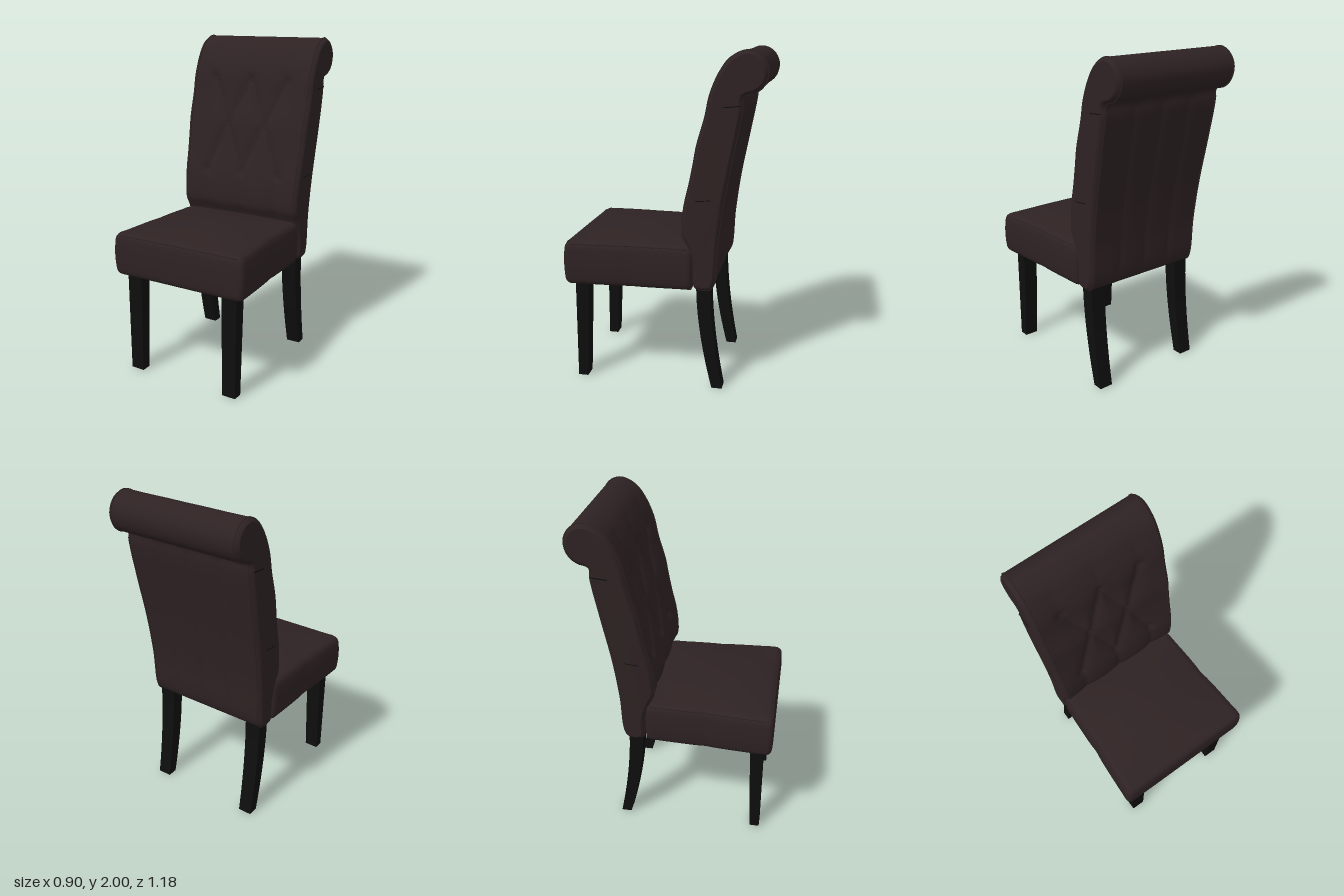
import * as THREE from 'three';
import { mergeVertices } from 'three/addons/utils/BufferGeometryUtils.js';

const material = (name, color) => {
  const m = new THREE.MeshStandardMaterial({ color });
  m.name = name;
  return m;
};

// Backrest side profile as [z, y]: up the front, over the scroll, down the rear
const PROFILE = [
  [-0.195, 0.645], [-0.185, 0.78], [-0.155, 0.89], [-0.125, 0.95], [-0.122, 1.03], [-0.135, 1.14],
  [-0.165, 1.27], [-0.187, 1.38], [-0.205, 1.48], [-0.25, 1.64], [-0.275, 1.76], [-0.325, 1.88],
  [-0.385, 1.96], [-0.475, 2.0], [-0.55, 1.972], [-0.589, 1.9], [-0.573, 1.82], [-0.525, 1.775],
  [-0.46, 1.752], [-0.458, 1.69], [-0.415, 1.45], [-0.365, 1.18], [-0.332, 0.92], [-0.312, 0.67],
  [-0.285, 0.632], [-0.215, 0.632],
];
const BUTTONS = [[-0.26, 1.745], [0, 1.745], [0.26, 1.745], [-0.13, 1.46], [0.13, 1.46],
  [-0.26, 1.165], [0, 1.165], [0.26, 1.165]];

// Fold lines [x0, y0, x1, y1, depth]: diamonds, then pleats above and below
const FOLDS = [];
for (const s of [-1, 1]) {
  for (const y of [1.745, 1.165]) {
    for (const x of [0, 0.26]) FOLDS.push([s * x, y, s * 0.13, 1.46, 0.026]);
  }
}
for (const x of [-0.26, 0, 0.26]) {
  FOLDS.push([x, 1.165, x, 0.85, 0.016], [x, 1.745, x, 1.9, 0.008]);
}

function tuftDepth(x, y) {
  let depth = 0;
  for (const [x0, y0, x1, y1, w] of FOLDS) {
    const dx = x1 - x0, dy = y1 - y0;
    const t = THREE.MathUtils.clamp(((x - x0) * dx + (y - y0) * dy) / (dx * dx + dy * dy), 0, 1);
    const d = Math.hypot(x - x0 - t * dx, y - y0 - t * dy);
    depth = Math.max(depth, w * Math.exp(-d / 0.04));
  }
  for (const [bx, by] of BUTTONS) {
    depth += 0.01 * Math.exp(-(((x - bx) ** 2 + (y - by) ** 2) / 0.0006));
  }
  return depth * (1 - THREE.MathUtils.smoothstep(Math.abs(x), 0.33, 0.4));
}

const N = 160;
const curve = new THREE.CatmullRomCurve3(PROFILE.map(([z, y]) => new THREE.Vector3(0, y, z)), true);
const ring = curve.getSpacedPoints(N).slice(0, N).map((p, i, a) => ({ z: p.z, y: p.y }));
ring.forEach((p, i) => {
  const a = ring[(i + N - 1) % N], b = ring[(i + 1) % N];
  const l = Math.hypot(b.z - a.z, b.y - a.y);
  p.nz = (b.y - a.y) / l;
  p.ny = -(b.z - a.z) / l;
});
const crest = ring.reduce((best, p, i) => (p.y > ring[best].y ? i : best), 0);
const widthScale = (y) => 0.955 + 0.045 * THREE.MathUtils.smoothstep(y, 0.8, 1.65);

// Backrest skin: the profile swept across x, pulled in at tufts, pleats and rounded ends
function backGeometry() {
  const ends = [[0.43, 0.02], [0.421, 0.007]];
  const stations = ends.map(([x, inset]) => [-x, inset]);
  for (let j = 0; j <= 60; j++) stations.push([-0.405 + 0.0135 * j, 0]);
  stations.push(...ends.slice().reverse());
  const pos = [], index = [];
  const point = (i, x, inset) => {
    const p = ring[i];
    let d = inset;
    if (i < crest) d += tuftDepth(x, p.y);
    else if (p.y < 1.72 && p.y > 0.65) {
      for (const g of [-0.2, 0, 0.2]) d += 0.009 * Math.exp(-Math.abs(x - g) / 0.03);
    }
    pos.push(x * widthScale(p.y), p.y - p.ny * d, p.z - p.nz * d);
  };
  stations.forEach(([x, inset], j) => {
    for (let i = 0; i < N; i++) {
      point(i, x, inset);
      if (j === stations.length - 1) continue;
      const a = j * N + i, b = j * N + (i + 1) % N;
      index.push(a, a + N, b, b, a + N, b + N);
    }
  });
  // flat end panels
  const contour = ring.map((p) => new THREE.Vector2(p.z - p.nz * 0.02, p.y - p.ny * 0.02));
  const faces = THREE.ShapeUtils.triangulateShape(contour, []);
  for (const s of [-1, 1]) {
    const base = pos.length / 3;
    for (let i = 0; i < N; i++) point(i, s * 0.43, 0.02);
    for (const [a, b, c] of faces) {
      if (s < 0) index.push(base + a, base + b, base + c);
      else index.push(base + a, base + c, base + b);
    }
  }
  const g = new THREE.BufferGeometry();
  g.setAttribute('position', new THREE.Float32BufferAttribute(pos, 3));
  g.setIndex(index);
  g.computeVertexNormals();
  return g;
}

// Seat cushion rule: rounded box, domed top, sides widening to the front and pinched at a seam
const HALF = new THREE.Vector3(0.42, 0.132, 0.383);
function seatPoint(p) {
  const r = 0.035;
  const limit = HALF.clone().subScalar(r);
  const core = p.clone().clamp(limit.clone().negate(), limit);
  const q = p.clone().sub(core);
  if (q.length() > r) q.setLength(r);
  q.add(core);
  const u = q.x / HALF.x, v = q.y / HALF.y, w = q.z / HALF.z;
  const z = q.z + 0.2;
  const bulge = 0.012 * (1 - v * v);
  const half = 0.402 + 0.05 * (z + 0.19) - 0.009 * Math.exp(-Math.abs(z - 0.19) / 0.06) + bulge;
  const dome = v > 0 ? 0.045 * v * (1 - u * u) * (1 - w * w) : 0;
  return new THREE.Vector3(u * half, q.y + 0.752 + dome, z + (w > 0 ? w * bulge * 0.7 : 0));
}
function seatGeometry() {
  let g = new THREE.BoxGeometry(2, 2, 2, 36, 16, 48);
  g.deleteAttribute('uv');
  g.deleteAttribute('normal');
  g = mergeVertices(g);
  const p = g.attributes.position, v = new THREE.Vector3();
  const ease = (t) => Math.sin(t * Math.PI / 2);
  for (let i = 0; i < p.count; i++) {
    v.fromBufferAttribute(p, i);
    const q = seatPoint(v.set(ease(v.x), ease(v.y), ease(v.z)).multiply(HALF));
    p.setXYZ(i, q.x, q.y, q.z);
  }
  g.computeVertexNormals();
  return g;
}

// Tapered leg: t runs 0 (floor) to 1 (top); span(t) returns the rear and front z
function legGeometry(span, inner, outer) {
  const g = new THREE.BoxGeometry(1, 1, 1, 1, 12, 1);
  const p = g.attributes.position;
  for (let i = 0; i < p.count; i++) {
    const t = p.getY(i) + 0.5;
    const [back, front] = span(t);
    const grow = 0.006 * t;
    p.setXYZ(i, p.getX(i) < 0 ? inner - grow : outer + grow, t * 0.64, p.getZ(i) < 0 ? back : front);
  }
  g.computeVertexNormals();
  return g;
}

export function createModel() {
  const model = new THREE.Group();
  const leather = material('brown leather', 0x2e2223);
  const wood = material('black wood', 0x0e0e0e);
  const lining = material('olive lining', 0x372e1e);
  const add = (name, geometry, mat, x = 0, y = 0, z = 0) => {
    const mesh = new THREE.Mesh(geometry, mat);
    mesh.name = name;
    mesh.position.set(x, y, z);
    model.add(mesh);
    return mesh;
  };

  add('backrest', backGeometry(), leather);
  add('seat', seatGeometry(), leather);
  add('seatLining', new THREE.BoxGeometry(0.72, 0.008, 0.7), lining, 0, 0.617, 0.18);

  // buttons at the tuft corners
  const front = ring.slice(0, crest);
  for (const [x, y] of BUTTONS) {
    const p = front.reduce((a, b) => (Math.abs(b.y - y) < Math.abs(a.y - y) ? b : a));
    const d = tuftDepth(x, y) - 0.002;
    add('button', new THREE.SphereGeometry(0.012, 12, 8), leather,
      x * widthScale(y), p.y - p.ny * d, p.z - p.nz * d).scale.z = 0.6;
  }

  // piping round the seat's top edge
  const edge = [];
  for (let i = 0; i < 64; i++) {
    const a = (i + 0.5) / 64 * Math.PI * 2, k = Math.max(Math.abs(Math.cos(a)), Math.abs(Math.sin(a)));
    edge.push(seatPoint(new THREE.Vector3(Math.cos(a) / k, 0.97, Math.sin(a) / k).multiply(HALF)));
  }
  add('seatPiping', new THREE.TubeGeometry(new THREE.CatmullRomCurve3(edge, true), 128, 0.004, 6, true), leather);

  const rearSpan = (t) => {
    const s = (1 - t) ** 1.7;
    return [-0.288 - 0.077 * s, -0.205 - 0.097 * s];
  };
  const frontSpan = (t) => [0.48 - 0.025 * t, 0.54 - 0.003 * t];
  for (const s of [-1, 1]) {
    const side = s < 0 ? 'right' : 'left';
    const [inner, outer] = s < 0 ? [-0.375, -0.288] : [0.288, 0.375];
    add(side + 'FrontLeg', legGeometry(frontSpan, inner, outer), wood);
    add(side + 'RearLeg', legGeometry(rearSpan, inner, outer), wood);

    // piping round each end of the backrest, and short side seams
    const path = ring.map((p) => new THREE.Vector3(s * 0.405 * widthScale(p.y), p.y, p.z));
    add(side + 'BackPiping', new THREE.TubeGeometry(new THREE.CatmullRomCurve3(path, true), 200, 0.004, 6, true), leather);
    for (const [y, z] of [[1.17, -0.245], [1.7, -0.4]]) {
      add(side + 'Seam', new THREE.BoxGeometry(0.004, 0.005, 0.09), wood, s * 0.43 * widthScale(y), y, z).rotation.x = 0.1;
    }
  }
  return model;
}
